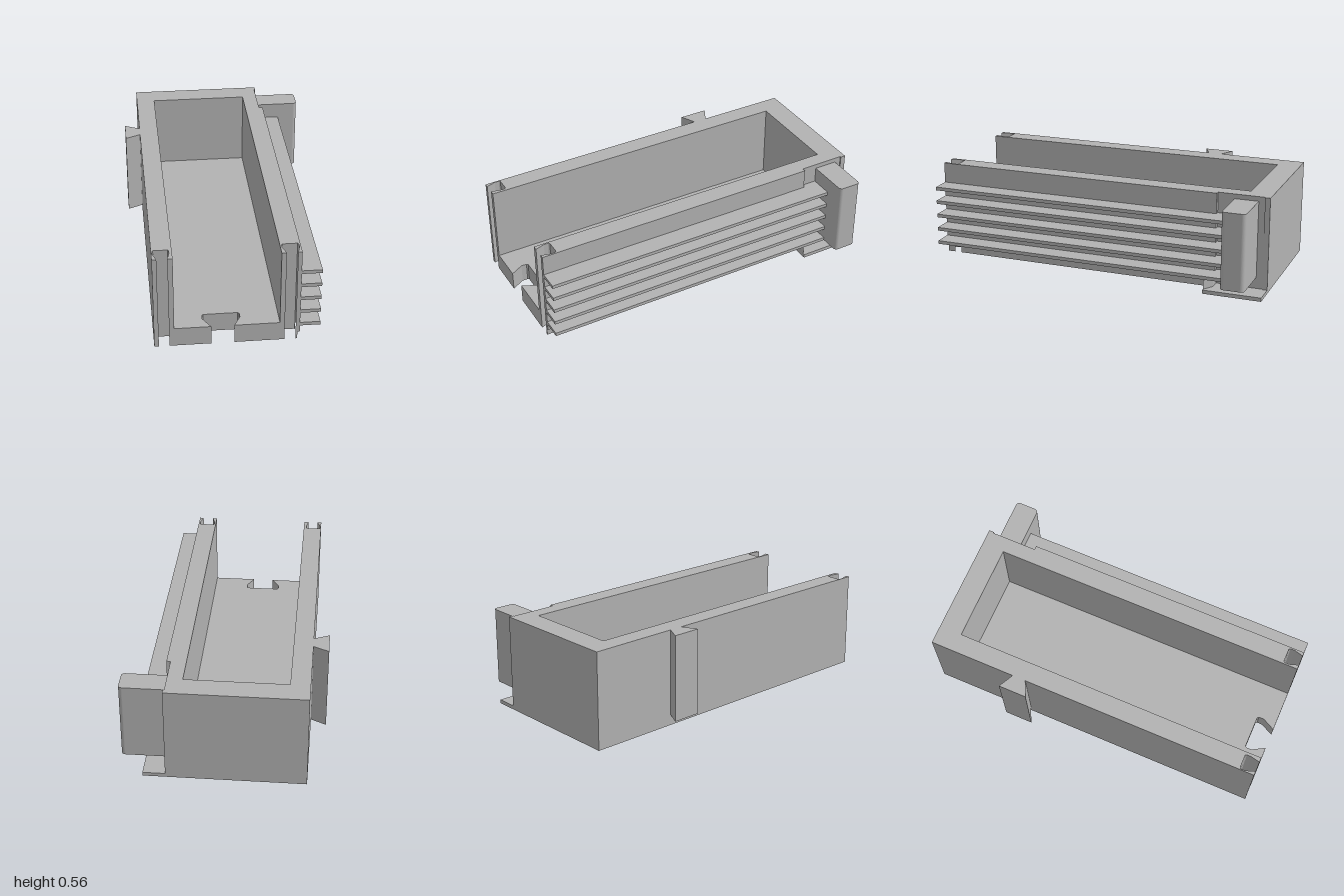
import * as THREE from 'three';

export function createModel() {
  const model = new THREE.Group();
  const grey = new THREE.MeshStandardMaterial({ color: 0xb2b2b2 });
  grey.name = 'grey';

  // Extrude a plan outline of [x, z] points from height y0 to y1.
  function slab(name, points, y0, y1) {
    const shape = new THREE.Shape(points.map(([x, z]) => new THREE.Vector2(x, -z)));
    return add(name, shape, y0, y1);
  }
  function add(name, shape, y0, y1) {
    const geo = new THREE.ExtrudeGeometry(shape, { depth: y1 - y0, bevelEnabled: false, curveSegments: 8 });
    geo.rotateX(-Math.PI / 2);
    const mesh = new THREE.Mesh(geo, grey);
    mesh.name = name;
    mesh.position.y = y0;
    model.add(mesh);
    return mesh;
  }

  const L = -0.47, R = 0.323, LOW = 0.31;
  // Dovetail slots in the front edge, listed from -x to +x
  const slotLeft = [[-0.445, 1], [-0.464, 0.945], [-0.464, 0.92], [-0.459, 0.912],
    [-0.381, 0.912], [-0.376, 0.92], [-0.376, 0.945], [-0.388, 1]];
  const slotFloor = [[-0.16, 1], [-0.203, 0.925], [-0.203, 0.893], [-0.195, 0.885],
    [-0.005, 0.885], [0.003, 0.893], [0.003, 0.925], [-0.035, 1]];
  const slotRight = [[0.24, 1], [0.222, 0.945], [0.222, 0.92], [0.227, 0.912],
    [0.309, 0.912], [0.314, 0.92], [0.314, 0.945], [0.30, 1]];
  // Lower layers: the right slot breaks through the undercut side
  const slotOpen = [...slotRight.slice(0, 5), [LOW, 0.914]];
  const recess = [[0.30, -0.70], [0.30, -0.97], [0.307, -0.97], [0.307, -1]];

  // Floor, in layers
  slab('basePlate', [[L, -1], [L, 1], ...slotLeft, ...slotFloor, ...slotOpen,
    [LOW, -0.66], [0.432, -0.66], [0.432, -1]], 0, 0.022);
  slab('undercutFloor', [[L, -1], [L, 1], ...slotLeft, ...slotFloor, ...slotOpen,
    [LOW, -0.70], ...recess], 0.022, 0.045);
  slab('slotLip', [[0.30, 1], [LOW, 1], [LOW, 0.957]], 0, 0.045);
  slab('floor', [[L, -1], [L, 1], ...slotLeft, ...slotFloor, ...slotRight,
    [R, 1], [R, -0.70], ...recess], 0.045, 0.112);

  // Side and back walls around the open-fronted pocket
  slab('walls', [[L, -1], [L, 1], ...slotLeft, [-0.36, 1], [-0.36, -0.865], [0.213, -0.865],
    [0.213, 1], ...slotRight, [R, 1], [R, -0.70], ...recess], 0.112, 0.56);

  // Long horizontal fins
  for (let i = 0; i < 5; i++) {
    const y = 0.085 + i * 0.084;
    slab('fin', [[0.30, 1], [0.435, 1], [0.435, -0.80], [0.30, -0.80]]
      .map(([x, z]) => [x === 0.30 && z === 1 ? R - 0.002 : x, z])
      .flatMap((p, k) => (k === 3 ? [p, [0.30, -0.70], [R - 0.002, -0.70]] : [p])), y, y + 0.02);
  }

  // Small wedge under the lowest fin
  slab('wedge', [[0.305, -0.66], [0.42, -0.66], [0.36, -0.70], [0.305, -0.70]], 0.022, 0.085);

  // Side block with rounded outer corners
  const block = new THREE.Shape();
  const r = 0.022, x1 = 0.555, zA = 0.795, zB = 0.933;
  block.moveTo(0.30, zA);
  block.lineTo(x1 - r, zA);
  block.absarc(x1 - r, zA + r, r, -Math.PI / 2, 0, false);
  block.absarc(x1 - r, zB - r, r, 0, Math.PI / 2, false);
  block.lineTo(0.30, zB);
  add('sideBlock', block, 0.088, 0.533);

  // Dovetail key on the opposite side
  slab('dovetailKey', [[L, -0.485], [-0.558, -0.53], [-0.558, -0.363], [L, -0.405]], 0.06, 0.56);

  return model;
}
